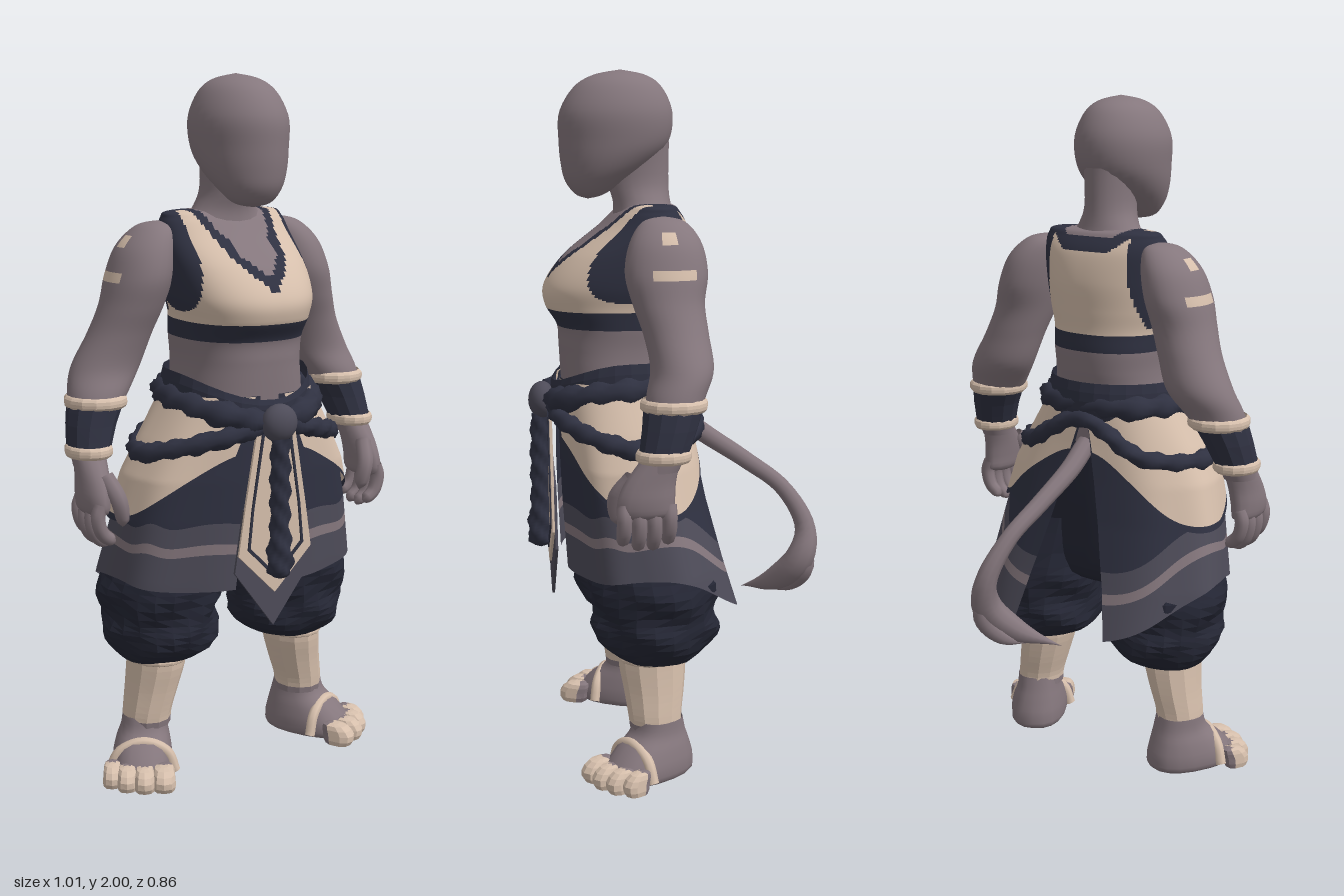
import * as THREE from 'three';
import { mergeVertices } from 'three/addons/utils/BufferGeometryUtils.js';

const mat = (name, color) => new THREE.MeshStandardMaterial({ name, color, side: THREE.DoubleSide });
const SKIN = mat('skin', 0x85777d), CREAM = mat('cream cloth', 0xd6bfac), NAVY = mat('navy cloth', 0x2f3141);
const DARK = mat('dark trousers', 0x242634), SLATE = mat('slate cloth', 0x4e4c59);
const { sin, cos, abs, sign, exp, PI, max, min, floor } = Math;

// Surface over (u, v); paint is one material or a rule choosing a material per cell
function grid(name, fn, nu, nv, paint, flat = false) {
  const pos = [], buckets = new Map();
  for (let j = 0; j <= nv; j++) for (let i = 0; i <= nu; i++) pos.push(...fn(i / nu, j / nv));
  for (let j = 0; j < nv; j++) for (let i = 0; i < nu; i++) {
    const u = (i + 0.5) / nu, v = (j + 0.5) / nv;
    const m = paint.isMaterial ? paint : paint(fn(u, v), u, v);
    if (!buckets.has(m)) buckets.set(m, []);
    const a = j * (nu + 1) + i, b = a + 1, c = a + nu + 1, d = c + 1;
    buckets.get(m).push(a, b, d, a, d, c);
  }
  let geo = new THREE.BufferGeometry();
  geo.setAttribute('position', new THREE.Float32BufferAttribute(pos, 3));
  const index = [];
  [...buckets.values()].forEach((list, k) => {
    geo.addGroup(index.length, list.length, k);
    for (const n of list) index.push(n);
  });
  geo.setIndex(index);
  geo = mergeVertices(geo, 1e-5);
  if (flat) geo = geo.toNonIndexed();
  geo.computeVertexNormals();
  const mats = [...buckets.keys()];
  if (mats.length === 1) geo.clearGroups();
  const mesh = new THREE.Mesh(geo, mats.length === 1 ? mats[0] : mats);
  mesh.name = name;
  return mesh;
}

// Smooth interpolation through rows of numbers
function rowAt(rows, t) {
  const f = t * (rows.length - 1), i = min(floor(f), rows.length - 2), s = f - i;
  const R = k => rows[max(0, min(rows.length - 1, k))];
  return rows[0].map((_, k) => {
    const a = R(i - 1)[k], b = R(i)[k], c = R(i + 1)[k], d = R(i + 2)[k];
    return b + 0.5 * s * (c - a + s * (2 * a - 5 * b + 4 * c - d + s * (3 * (b - c) + d - a)));
  });
}
const pw = (n, p) => sign(n) * abs(n) ** p;

// Stacked ellipses [x, y, z, rx, rz], listed from the bottom up
function loft(name, rings, paint, { nu = 20, nv = rings.length * 3, p = 1, flat = false, fold = 0 } = {}) {
  return grid(name, (u, v) => {
    const [x, y, z, a, b] = rowAt(rings, v), t = u * 2 * PI;
    const f = 1 + fold * sin(5 * t + y * 45) * sin(v * PI);
    return [x + max(0, a) * f * pw(sin(t), p), y, z + max(0, b) * f * pw(cos(t), p)];
  }, nu, nv, paint, flat);
}

// Tube along points [x, y, z, r]; twist gives it rope strands
function sweep(name, pts, paint, { nv = pts.length * 4, nu = 8, closed = false, twist = 0 } = {}) {
  const curve = new THREE.CatmullRomCurve3(pts.map(q => new THREE.Vector3(q[0], q[1], q[2])), closed);
  const fr = curve.computeFrenetFrames(nv * 2, closed);
  const radii = (closed ? [...pts, pts[0]] : pts).map(q => [q[3]]);
  return grid(name, (u, v) => {
    const k = Math.round(v * nv * 2), t = u * 2 * PI;
    const r = rowAt(radii, curve.getUtoTmapping(v))[0] * (1 + (twist ? 0.2 * cos(3 * t + v * twist * 2 * PI) : 0));
    return curve.getPointAt(v).addScaledVector(fr.normals[k], r * cos(t)).addScaledVector(fr.binormals[k], r * sin(t)).toArray();
  }, nu, nv, paint);
}
const band = (name, x, y, z, a, b, h, m) => loft(name, [[x, y - h, z, a * 0.9, b * 0.9], [x, y - h / 2, z, a, b],
  [x, y + h / 2, z, a, b], [x, y + h, z, a * 0.9, b * 0.9]], m, { nu: 14, nv: 6, flat: true });

// Copy of a group reflected across x = 0
function mirrored(group, name) {
  const out = new THREE.Group();
  out.name = name;
  group.updateMatrixWorld(true);
  group.traverse(o => {
    if (!o.isMesh) return;
    const g = o.geometry.index ? o.geometry.toNonIndexed() : o.geometry.clone();
    g.applyMatrix4(o.matrixWorld).applyMatrix4(new THREE.Matrix4().makeScale(-1, 1, 1));
    for (const at of Object.values(g.attributes)) for (let i = 0; i < at.count; i += 3) for (let k = 0; k < at.itemSize; k++) {
      const t = at.getComponent(i + 1, k);
      at.setComponent(i + 1, k, at.getComponent(i + 2, k));
      at.setComponent(i + 2, k, t);
    }
    const m = new THREE.Mesh(g, o.material);
    m.name = o.name;
    out.add(m);
  });
  return out;
}

// Colours of the cropped top: band, neckline and armhole trims
function topPaint([x, y, z]) {
  const ax = abs(x);
  if (y < 1.28) return SKIN;
  if (y < 1.33) return NAVY;
  const neck = z > 0.08 ? (ax < 0.08 ? 1.41 + 1.06 * ax : 1.495 + (ax - 0.08) * 2.8) : 1.57 + max(0, ax - 0.08) * 0.8;
  if (y > neck + (z > 0.08 && ax > 0.06 ? 0.075 : 0.04)) return SKIN;
  if (y > neck) return NAVY;
  const arm = z > 0.08 ? 0.16 + max(0, 1.52 - y) * 0.17 : 0.135 + max(0, 1.5 - y) * 0.2;
  return y > 1.35 && ax > arm ? NAVY : CREAM;
}

// Skirt outline by height: [y, half width, front z, back z]
const FLARE = [[1.14, 0.2, 0.335, -0.02], [1, 0.28, 0.342, -0.042], [0.9, 0.33, 0.342, -0.06],
  [0.78, 0.36, 0.338, -0.085], [0.6, 0.395, 0.328, -0.135], [0.43, 0.4, 0.32, -0.19]];
function skirt(name, hem, from, to, grow, wave, paint) {
  return grid(name, (u, v) => {
    const w = v + sin(PI * v) * wave(u), a = from(w), t = a + (to(w) - a) * u, h = hem(t), y = h + (1.13 - h) * w;
    let i = 0;
    while (i < FLARE.length - 2 && y < FLARE[i + 1][0]) i++;
    const A = FLARE[i], B = FLARE[i + 1], s = (A[0] - y) / (A[0] - B[0]);
    const [c, f, b] = [1, 2, 3].map(k => A[k] + (B[k] - A[k]) * s);
    const r = 1 + grow + 0.018 * sin(8 * t) * (1 - w);
    return [c * r * pw(sin(t), 0.85), y, (f + b) / 2 + (f - b) / 2 * r * pw(cos(t), 0.85)];
  }, 48, 40, paint);
}

// Flat plate hanging at the front, from the right half of its outline
function plate(name, half, z, m, hole) {
  const outline = h => [...h, ...h.filter(q => q[0] > 0).reverse().map(q => [-q[0], q[1]])].map(q => new THREE.Vector2(...q));
  const shape = new THREE.Shape(outline(half));
  if (hole) shape.holes.push(new THREE.Path(outline(hole)));
  const mesh = new THREE.Mesh(new THREE.ExtrudeGeometry(shape, { depth: 0.008, bevelEnabled: false }), m);
  mesh.position.z = z;
  mesh.name = name;
  return mesh;
}

export function createModel() {
  const model = new THREE.Group(), side = new THREE.Group();
  model.name = 'fighter';
  side.name = 'leftSide';

  // Head, neck and torso
  model.add(
    loft('head', [[0, 1.64, 0.245, 0, 0], [0, 1.652, 0.24, 0.055, 0.04], [0, 1.69, 0.225, 0.09, 0.085], [0, 1.74, 0.195, 0.115, 0.127],
      [0, 1.8, 0.17, 0.128, 0.157], [0, 1.88, 0.163, 0.131, 0.162], [0, 1.95, 0.157, 0.102, 0.127], [0, 1.985, 0.152, 0.06, 0.075],
      [0, 2, 0.15, 0, 0]], SKIN, { nu: 32, nv: 36 }),
    loft('neck', [[0, 1.5, 0.09, 0.14, 0.1], [0, 1.58, 0.085, 0.135, 0.09], [0, 1.63, 0.09, 0.095, 0.083],
      [0, 1.69, 0.1, 0.07, 0.088], [0, 1.8, 0.1, 0.072, 0.09]], SKIN),
    loft('torso', [[0, 1, 0.15, 0.2, 0.17], [0, 1.15, 0.15, 0.18, 0.18], [0, 1.22, 0.147, 0.174, 0.187], [0, 1.28, 0.147, 0.178, 0.192],
      [0, 1.34, 0.165, 0.184, 0.208], [0, 1.4, 0.163, 0.197, 0.21], [0, 1.48, 0.132, 0.202, 0.182], [0, 1.56, 0.088, 0.2, 0.125],
      [0, 1.605, 0.075, 0.19, 0.088], [0, 1.625, 0.07, 0.16, 0.06], [0, 1.63, 0.07, 0, 0]], topPaint, { nu: 128, nv: 130, p: 0.85 }));

  // Arm with pale marks, bracer and rings
  side.add(
    loft('arm', [[0.447, 0.94, 0.115, 0.045, 0.055], [0.443, 0.98, 0.1, 0.05, 0.058], [0.425, 1.05, 0.08, 0.062, 0.068],
      [0.392, 1.13, 0.058, 0.087, 0.08], [0.355, 1.2, 0.035, 0.1, 0.086], [0.315, 1.29, 0.045, 0.092, 0.09], [0.285, 1.37, 0.06, 0.09, 0.1],
      [0.262, 1.45, 0.062, 0.09, 0.115], [0.238, 1.53, 0.06, 0.08, 0.1], [0.21, 1.585, 0.06, 0.05, 0.06], [0.2, 1.6, 0.06, 0, 0]],
      ([x, y, z]) => x > 0.27 && ((abs(y - 1.455) < 0.014 && abs(z - 0.05) < 0.065) || (abs(y - 1.545) < 0.017 && abs(z - 0.06) < 0.02))
        ? CREAM : SKIN, { nu: 28, nv: 60 }),
    loft('bracer', [[0.443, 0.98, 0.1, 0.06, 0.068], [0.425, 1.05, 0.08, 0.07, 0.076], [0.402, 1.11, 0.065, 0.08, 0.084]],
      NAVY, { nu: 12, nv: 4, flat: true }),
    band('upperBracerRing', 0.402, 1.11, 0.065, 0.088, 0.092, 0.018, CREAM),
    band('lowerBracerRing', 0.443, 0.98, 0.1, 0.065, 0.076, 0.017, CREAM),
    loft('hand', [[0.455, 0.805, 0.15, 0, 0], [0.457, 0.82, 0.15, 0.032, 0.07], [0.457, 0.86, 0.15, 0.04, 0.078],
      [0.452, 0.91, 0.138, 0.042, 0.07], [0.446, 0.97, 0.108, 0.045, 0.054]], SKIN, { nu: 14 }),
    sweep('thumb', [[0.435, 0.92, 0.185, 0.024], [0.415, 0.86, 0.225, 0.024], [0.402, 0.8, 0.222, 0.018], [0.4, 0.78, 0.217, 0]], SKIN));
  for (let i = 0; i < 4; i++) {
    const z = 0.088 + i * 0.041, d = i % 3 ? 0 : 0.015;
    side.add(sweep('finger', [[0.462, 0.85, z, 0.02], [0.472, 0.8 + d, z, 0.021], [0.458, 0.752 + d, z, 0.02],
      [0.428, 0.73 + d, z, 0.016], [0.418, 0.729 + d, z, 0]], SKIN));
  }

  // Baggy trousers and leg wraps
  side.add(
    loft('trouserLeg', [[0.238, 0.37, 0.09, 0.08, 0.09], [0.232, 0.34, 0.085, 0.1, 0.1], [0.215, 0.385, 0.087, 0.155, 0.165], [0.22, 0.44, 0.087, 0.168, 0.183],
      [0.22, 0.48, 0.09, 0.162, 0.175], [0.22, 0.55, 0.09, 0.182, 0.19], [0.21, 0.61, 0.1, 0.172, 0.18], [0.18, 0.75, 0.12, 0.15, 0.17]],
      DARK, { nu: 22, nv: 18, flat: true, fold: 0.045 }),
    loft('legWrap', [[0.267, 0.14, 0.095, 0.07, 0.075], [0.265, 0.18, 0.097, 0.07, 0.078], [0.25, 0.25, 0.097, 0.076, 0.088],
      [0.236, 0.33, 0.1, 0.083, 0.098], [0.235, 0.4, 0.1, 0.08, 0.095]], ([, y]) => y < 0.155 ? SKIN : CREAM, { nu: 12, nv: 14, flat: true }),
    band('wrapCuff', 0.236, 0.345, 0.1, 0.088, 0.102, 0.012, CREAM));

  // Foot turned outward, with pale toes and a strap
  const foot = new THREE.Group();
  foot.name = 'foot';
  foot.position.set(0.268, 0, 0.082);
  foot.rotation.y = 0.5;
  foot.add(
    loft('footBody', [[0.005, 0.005, 0.045, 0, 0], [0.005, 0.005, 0.045, 0.076, 0.125], [0.005, 0.04, 0.045, 0.088, 0.14],
      [0.003, 0.09, 0.028, 0.08, 0.112], [0, 0.13, 0.01, 0.068, 0.082], [0, 0.17, 0.008, 0.064, 0.07]], SKIN, { nu: 18, p: 0.85 }),
    sweep('footStrap', [[-0.09, 0.02, 0.1, 0.016], [-0.066, 0.08, 0.1, 0.016], [0, 0.108, 0.1, 0.016], [0.07, 0.08, 0.1, 0.016],
      [0.098, 0.02, 0.1, 0.016]], CREAM));
  [[-0.058, 0.182, 0.033], [-0.003, 0.19, 0.029], [0.047, 0.18, 0.028], [0.09, 0.155, 0.027]].forEach(([x, z, r]) => foot.add(
    loft('toe', [[x, 0, z, 0, 0], [x, 0.004, z, r * 0.95, r * 1.2], [x, 0.035, z, r, r * 1.5], [x, 0.062, z - 0.014, r * 0.8, r * 1.1],
      [x, 0.066, z - 0.018, 0, 0]], ([, , pz]) => pz > z - r * 0.6 ? CREAM : SKIN, { nu: 10, nv: 8, p: 0.8, flat: true })));
  side.add(foot);

  // Layered skirt, split at the front and back
  side.add(
    skirt('outerSkirt', t => 0.58 - 0.14 * max(0, -cos(t)) ** 2 + 0.03 * sin(t) ** 4, v => 0.2 - 0.1 * v, v => PI - 0.36 * (1 - v), 0,
      u => 0.045 * sin(u * 11 + 0.6) + 0.07 * exp(-(((u - 0.33) / 0.07) ** 2)),
      (q, u, v) => v > 0.175 && v < 0.225 ? SKIN : v < 0.325 ? SLATE : NAVY),
    skirt('creamOverskirt', t => 0.77 + 0.21 * (cos(t) > 0 ? cos(t) ** 1.8 : cos(t) ** 4), v => 0.32 - 0.15 * v, v => PI - 0.1 * (1 - v), 0.03,
      () => 0, (q, u, v) => v < 0.05 ? NAVY : CREAM));
  model.add(side, mirrored(side, 'rightSide'));
  model.add(loft('hips', [[0, 0.56, 0.11, 0, 0], [0, 0.58, 0.11, 0.26, 0.12], [0, 0.8, 0.13, 0.27, 0.16], [0, 1.1, 0.15, 0.18, 0.165]],
    DARK, { nu: 20 }));

  // Front panel with outlined border
  model.add(
    plate('panelTip', [[0, 0.9], [0.1, 0.82], [0.128, 0.64], [0, 0.47]], 0.357, SLATE),
    plate('panelCloth', [[0, 1.08], [0.055, 1.08], [0.1, 0.82], [0.12, 0.69], [0, 0.57]], 0.364, CREAM),
    plate('panelBorder', [[0, 1.06], [0.043, 1.06], [0.08, 0.82], [0.092, 0.705], [0, 0.612]], 0.368, NAVY,
      [[0, 1.04], [0.038, 1.04], [0.073, 0.82], [0.084, 0.71], [0, 0.625]]));

  // Waist sash, twisted ropes, knot and hanging cord
  model.add(grid('waistSash', (u, v) => {
    const t = u * 2 * PI, f = max(0, cos(t)) ** 2, r = 1 + 0.12 * sin(v * 2.4);
    return [0.193 * r * sin(t), 1.05 + 0.14 * v - 0.07 * f * v, 0.153 + 0.187 * r * cos(t)];
  }, 28, 5, NAVY, true));
  const loop = h => [...h, ...h.slice(1, -1).reverse().map(([x, ...r]) => [-x, ...r])];
  const rope = (name, h, turns) => model.add(sweep(name, loop(h), NAVY, { closed: true, twist: turns, nv: 120, nu: 12 }));
  rope('upperRope', [[0, 1.06, 0.355, 0.03], [0.12, 1.08, 0.33, 0.036], [0.205, 1.11, 0.18, 0.037], [0.15, 1.12, 0.01, 0.034],
    [0, 1.12, -0.025, 0.03]], 16);
  rope('lowerRope', [[0, 1.05, 0.355, 0.024], [0.16, 1.02, 0.33, 0.026], [0.305, 0.965, 0.16, 0.028], [0.2, 0.985, -0.022, 0.024],
    [0, 1.08, -0.042, 0.024]], 22);
  model.add(sweep('hangingCord', [[0, 1.02, 0.393, 0.025], [0, 0.9, 0.394, 0.027], [0, 0.76, 0.395, 0.027], [0, 0.68, 0.396, 0.035],
    [0, 0.63, 0.396, 0.03], [0, 0.615, 0.396, 0]], NAVY, { twist: 6, nv: 48, nu: 12 }));
  const knot = new THREE.Mesh(new THREE.SphereGeometry(0.054, 16, 12), SLATE);
  knot.name = 'knot';
  knot.scale.z = 0.75;
  knot.position.set(0, 1.06, 0.386);
  model.add(knot);

  // Tail with a curled tuft and a side lock
  model.add(
    sweep('tail', [[0, 1, -0.02, 0.03], [0, 0.94, -0.1, 0.029], [0.02, 0.86, -0.22, 0.026], [0.05, 0.775, -0.33, 0.025], [0.085, 0.66, -0.39, 0.032],
      [0.1, 0.57, -0.37, 0.044], [0.05, 0.495, -0.31, 0.036], [-0.06, 0.44, -0.225, 0]], SKIN, { nv: 40, nu: 10 }),
    sweep('tailLock', [[0.1, 0.62, -0.385, 0.02], [0.1, 0.54, -0.385, 0.03], [0.06, 0.48, -0.35, 0.022], [0.02, 0.45, -0.29, 0]], SKIN));
  return model;
}
